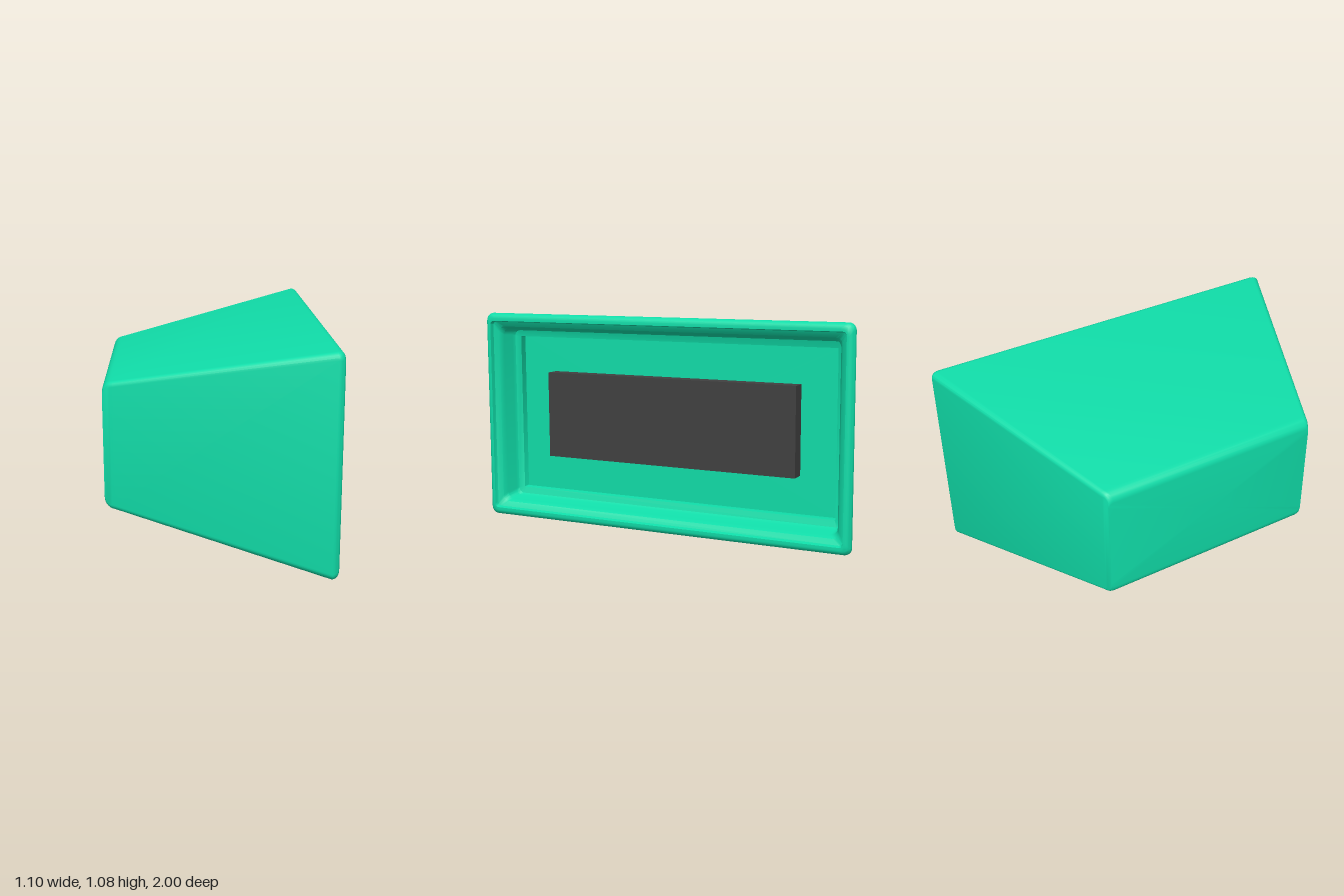
import * as THREE from 'three';
import { toCreasedNormals } from 'three/addons/utils/BufferGeometryUtils.js';

const CENTRE_Y = 0.54;
const CORNER_STEPS = 5;

// Rounded rectangle in the z/y plane at a given x, running from +z towards +y
function ring([x, hz, hy, radius]) {
  const r = Math.min(radius, hz, hy);
  const points = [];
  [[1, 1], [-1, 1], [-1, -1], [1, -1]].forEach(([sz, sy], corner) => {
    for (let k = 0; k <= CORNER_STEPS; k++) {
      const a = (corner + k / CORNER_STEPS) * Math.PI / 2;
      points.push([x, CENTRE_Y + sy * (hy - r) + r * Math.sin(a), sz * (hz - r) + r * Math.cos(a)]);
    }
  });
  return points;
}

// Skin a sequence of sections; zero-size sections close the ends
function loft(sections) {
  const rings = sections.map(ring);
  const n = rings[0].length;
  const index = [];
  for (let i = 0; i < rings.length - 1; i++) {
    for (let j = 0; j < n; j++) {
      const k = (j + 1) % n;
      const a = i * n + j, b = (i + 1) * n + j, c = (i + 1) * n + k, d = i * n + k;
      if (i < rings.length - 2) index.push(a, b, c);
      if (i > 0) index.push(a, c, d);
      else index.push(b, c, a);
      if (i === rings.length - 2) index.push(a, b, d);
    }
  }
  const geometry = new THREE.BufferGeometry();
  geometry.setAttribute('position', new THREE.Float32BufferAttribute(rings.flat(2), 3));
  geometry.setIndex([...index]);
  return toCreasedNormals(geometry, 0.6);
}

export function createModel() {
  const group = new THREE.Group();
  const green = new THREE.MeshStandardMaterial({ color: 0x10dca8, side: THREE.DoubleSide });
  const dark = new THREE.MeshStandardMaterial({ color: 0x404040 });

  const sections = [[-0.55, 0, 0, 0]];
  const sideZ = (x) => 0.58 + 0.42 * (x + 0.55) / 1.07;

  // Narrow end: top and bottom edges rolled over, side edges crisp
  for (let k = 0; k <= 6; k++) {
    const a = k / 6 * Math.PI / 2;
    const x = -0.55 + 0.05 * (1 - Math.cos(a));
    sections.push([x, sideZ(x), 0.27 + 0.052 * Math.sin(a), 0.025]);
  }

  // Wide end: small rolled rim
  for (let k = 0; k <= 6; k++) {
    const a = k / 6 * Math.PI / 2;
    const inset = 0.028 * (1 - Math.cos(a));
    sections.push([0.515 + 0.035 * Math.sin(a), 1 - inset, 0.538 - inset, 0.035]);
  }

  // Recess: sloped lip, wall, narrow ledge and sunken floor
  sections.push(
    [0.55, 0.965, 0.498, 0.02],
    [0.53, 0.96, 0.493, 0.02],
    [0.515, 0.935, 0.468, 0.03],
    [0.49, 0.922, 0.457, 0.035],
    [0.42, 0.918, 0.452, 0.035],
    [0.405, 0.91, 0.442, 0.03],
    [0.395, 0.88, 0.41, 0.005],
    [0.36, 0.878, 0.408, 0.005],
    [0.36, 0, 0, 0],
  );
  const housing = new THREE.Mesh(loft(sections), green);
  housing.name = 'housing';
  group.add(housing);

  // Dark panel mounted on the recess floor
  const panel = new THREE.Mesh(new THREE.BoxGeometry(0.08, 0.445, 1.376), dark);
  panel.name = 'panel';
  panel.position.set(0.395, 0.545, 0);
  group.add(panel);

  return group;
}
